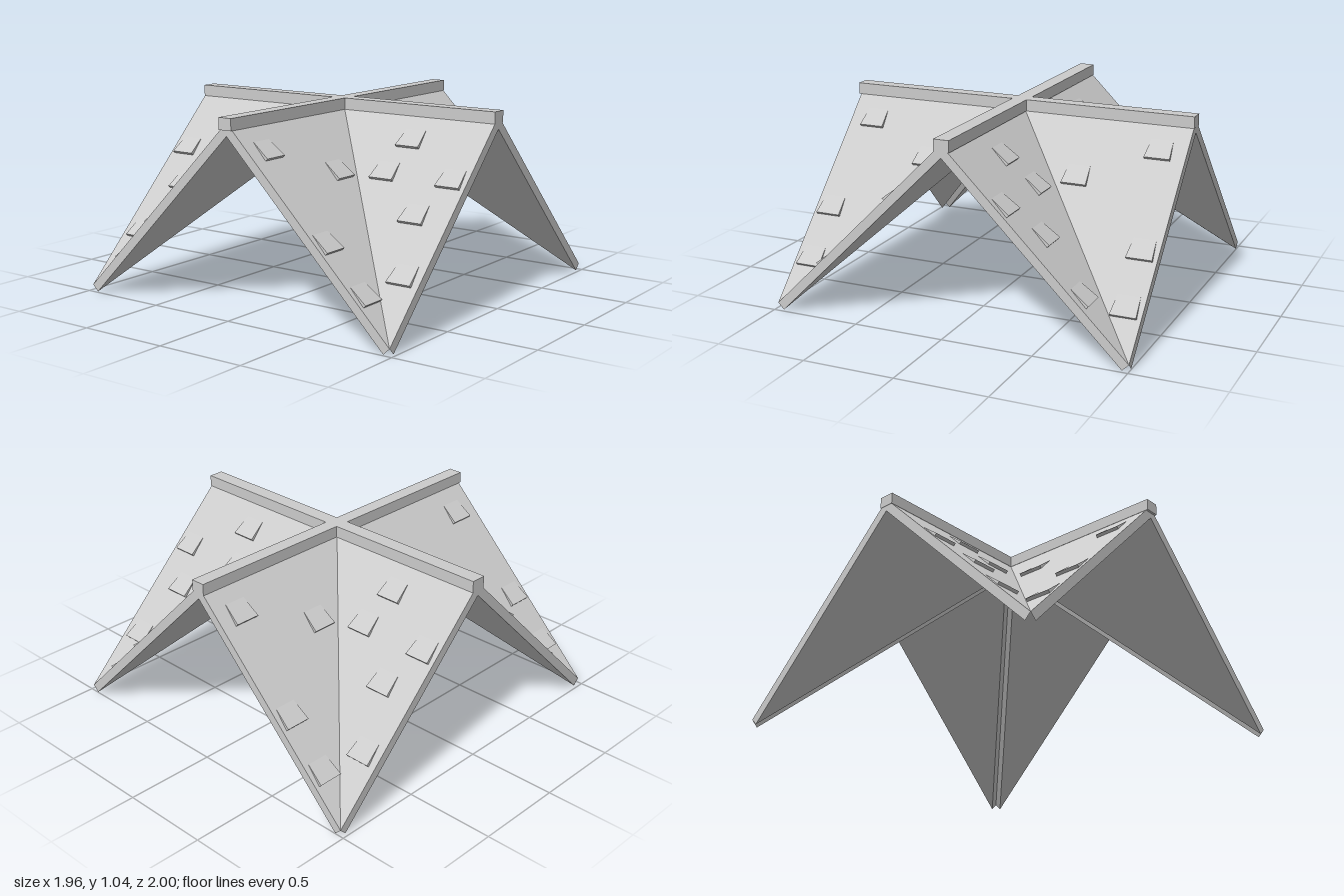
import * as THREE from 'three';

const RIDGE = 1.02, EAVE = 0.036, THICK = 0.049, CENTRE_Z = -0.005;
const HALF_X = 0.98, HALF_Z = 0.993;

// Solid between two matching loops of points, wound so that it faces outward
function loft(lower, upper, material) {
  const n = lower.length, tris = [];
  for (let i = 1; i < n - 1; i++) {
    tris.push([lower[0], lower[i + 1], lower[i]], [upper[0], upper[i], upper[i + 1]]);
  }
  for (let i = 0; i < n; i++) {
    const j = (i + 1) % n;
    tris.push([lower[i], lower[j], upper[j]], [lower[i], upper[j], upper[i]]);
  }
  const origin = lower[0];
  let volume = 0;
  for (const t of tris) {
    const [a, b, c] = t.map((p) => p.clone().sub(origin));
    volume += a.dot(b.cross(c));
  }
  if (volume < 0) tris.forEach((t) => t.reverse());
  const geometry = new THREE.BufferGeometry().setFromPoints(tris.flat());
  geometry.computeVertexNormals();
  return new THREE.Mesh(geometry, material);
}

// One triangular slope: ridge runs along "a", roof falls along "s"
function roofSlope(length, depth, tabs, place, material) {
  const slope = new THREE.Group();
  slope.name = 'roofSlope';
  const drop = RIDGE - EAVE, hyp = Math.hypot(drop, depth);
  // along the ridge, distance down the slope, height off the surface
  const at = (a, down, lift) => place(
    a,
    RIDGE - (down * drop) / hyp + (lift * depth) / hyp,
    (down * depth) / hyp + (lift * drop) / hyp,
  );

  const corners = [[0, 0], [length, 0], [length, hyp]];
  const panel = loft(
    corners.map(([a, d]) => at(a, d, -THICK)),
    corners.map(([a, d]) => at(a, d, 0)),
    material,
  );
  panel.name = 'roofPanel';
  slope.add(panel);

  // Raised shingles, thick at the lower edge and fading into the roof
  for (const [a, s] of tabs) {
    const low = ((s - 0.01) * hyp) / depth, high = low - 0.12;
    const foot = [[a - 0.07, low], [a + 0.07, low], [a + 0.06, high], [a - 0.06, high]];
    const lift = [0.017, 0.017, 0.001, 0.001];
    const shingle = loft(
      foot.map(([u, d]) => at(u, d, -0.005)),
      foot.map(([u, d], i) => at(u, d, lift[i])),
      material,
    );
    shingle.name = 'shingle';
    slope.add(shingle);
  }
  return slope;
}

export function createModel() {
  const model = new THREE.Group();
  model.name = 'crossGableRoof';
  const material = new THREE.MeshStandardMaterial({
    color: 0xcccccc, flatShading: true, side: THREE.DoubleSide,
  });

  // Shingle positions: along the ridge, horizontal distance from the ridge
  const sideTabs = [[0.545, 0.195], [0.885, 0.35], [0.485, 0.35], [0.772, 0.517], [0.872, 0.765]];
  const frontTabs = [[0.845, 0.195], [0.44, 0.34], [0.9, 0.602], [0.9, 0.825]];

  // Four wings with two slopes each
  for (const sx of [-1, 1]) {
    for (const sz of [-1, 1]) {
      const sideWing = (a, y, s) => new THREE.Vector3(sx * a, y, sz * s + CENTRE_Z);
      const frontWing = (a, y, s) => new THREE.Vector3(sx * s, y, sz * a + CENTRE_Z);
      model.add(roofSlope(HALF_X, HALF_Z, sideTabs, sideWing, material));
      model.add(roofSlope(HALF_Z, HALF_X, frontTabs, frontWing, material));
    }
  }

  // Crossing ridge beams
  for (const [name, w, d, z] of [['frontRidgeBeam', 0.08, 2, 0], ['sideRidgeBeam', 1.962, 0.085, -0.007]]) {
    const beam = new THREE.Mesh(new THREE.BoxGeometry(w, 0.063, d), material);
    beam.name = name;
    beam.position.set(0, 1.0135, z);
    model.add(beam);
  }
  return model;
}
